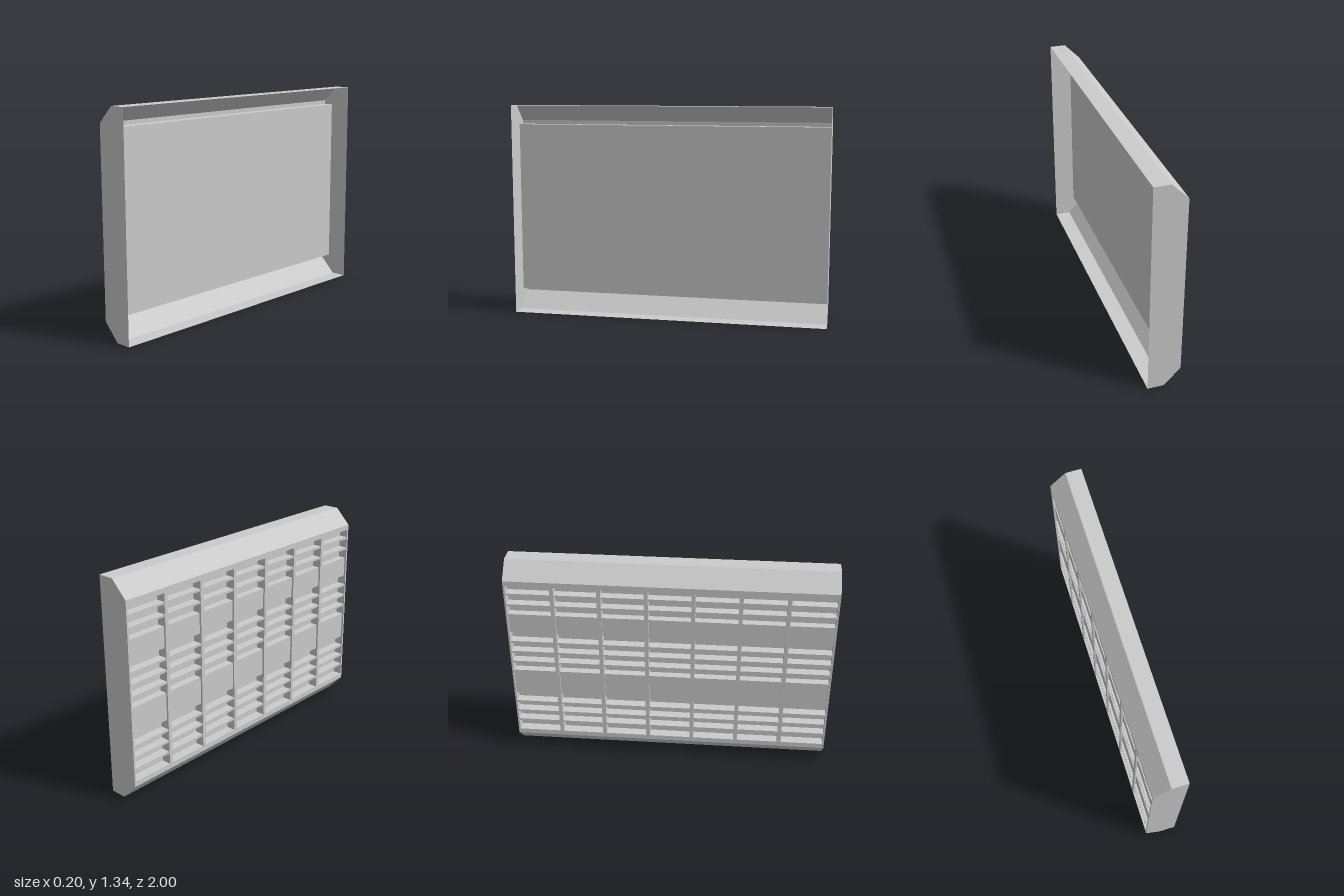
import * as THREE from 'three';

const H = 1.34, BACK = -0.1, FRONT = 0.1;
const Y0 = 0.13, Y1 = 1.215, Z = 0.993; // rack opening
const BOARD = -0.035;

export function createModel() {
  const group = new THREE.Group();
  const solid = new THREE.MeshStandardMaterial({ color: 0xcccccc, flatShading: true });
  const sheet = new THREE.MeshStandardMaterial({ color: 0xcccccc, flatShading: true, side: THREE.DoubleSide });

  const add = (name, geometry, material, parent = group) => {
    const mesh = new THREE.Mesh(geometry, material);
    mesh.name = name;
    parent.add(mesh);
    return mesh;
  };
  // Box given by its limits on each axis
  const box = (name, x0, x1, y0, y1, z0, z1, parent) => {
    const g = new THREE.BoxGeometry(x1 - x0, y1 - y0, z1 - z0);
    g.translate((x0 + x1) / 2, (y0 + y1) / 2, (z0 + z1) / 2);
    return add(name, g, solid, parent);
  };
  // Sheet running the full length between two profile points
  const strip = (name, [xa, ya], [xb, yb]) => {
    const g = new THREE.BufferGeometry();
    g.setAttribute('position', new THREE.Float32BufferAttribute(
      [xa, ya, 1, xb, yb, 1, xb, yb, -1, xa, ya, -1], 3));
    g.setIndex([0, 1, 2, 0, 2, 3]);
    g.computeVertexNormals();
    add(name, g, sheet);
  };

  // Thin casing, open towards +x, chamfered towards -x
  strip('casingBottom', [0, 0], [FRONT, 0]);
  strip('casingBottomChamfer', [BACK, 0.105], [0, 0]);
  strip('casingTop', [FRONT, H], [0, H]);
  strip('casingTopChamfer', [0, H], [BACK, 1.24]);
  const profile = [[0, 0], [FRONT, 0], [FRONT, H], [0, H], [BACK, 1.24], [BACK, 0.105]];
  const endShape = new THREE.Shape(profile.map(([x, y]) => new THREE.Vector2(x, y)));
  for (const s of [1, -1]) {
    add(s > 0 ? 'frontEndWall' : 'backEndWall', new THREE.ShapeGeometry(endShape), sheet).position.z = s;
  }

  // Narrow rim around the rack opening
  const rect = (Type, z, y0, y1) => new Type([[-z, y0], [z, y0], [z, y1], [-z, y1]]
    .map(([a, b]) => new THREE.Vector2(a, b)));
  const rim = rect(THREE.Shape, 1, 0.105, 1.24);
  rim.holes.push(rect(THREE.Path, Z, Y0, Y1));
  const rimGeometry = new THREE.ShapeGeometry(rim);
  rimGeometry.rotateY(-Math.PI / 2);
  rimGeometry.translate(BACK, 0, 0);
  add('openingRim', rimGeometry, sheet);

  // Flat board closing the rack, and its outer tray
  box('rackBoard', BOARD - 0.005, BOARD, Y0, Y1, -Z, Z);
  for (const s of [1, -1]) {
    const y = s > 0 ? Y1 : Y0 + 0.008;
    box('rackEdge', BACK, BOARD, y - 0.008, y, -Z, Z);
    box('rackSide', BACK, BOARD, Y0, Y1, s * Z - 0.004, s * Z + 0.004);
  }

  // Seven columns split by upright dividers
  const columns = 7, pitch = 2 * Z / columns, t = 0.012;
  for (let i = 1; i < columns; i++) {
    const z = -Z + i * pitch;
    box('divider', BACK, BOARD - 0.004, Y0, Y1, z - t, z + t);
  }

  // Open shelves in groups of 3, 4 and 4, with closed blocks between them
  const cell = 0.0735, blocks = [0.115, 0.16];
  for (let i = 0; i < columns; i++) {
    const column = new THREE.Group();
    column.name = 'rackColumn';
    group.add(column);
    const z0 = -Z + i * pitch + (i ? t : 0.004);
    const z1 = -Z + (i + 1) * pitch - (i < columns - 1 ? t : 0.004);
    let y = Y1;
    [3, 4, 4].forEach((count, g) => {
      for (let k = 0; k < count; k++) {
        y -= cell;
        const last = k === count - 1;
        if (!last) box('shelf', BACK + 0.004, BOARD - 0.004, y, y + 0.014, z0, z1, column);
      }
      if (g < 2) {
        box('closedBlock', BACK + 0.012, BOARD - 0.004, y - blocks[g], y + 0.014, z0, z1, column);
        y -= blocks[g];
      }
    });
  }
  return group;
}
